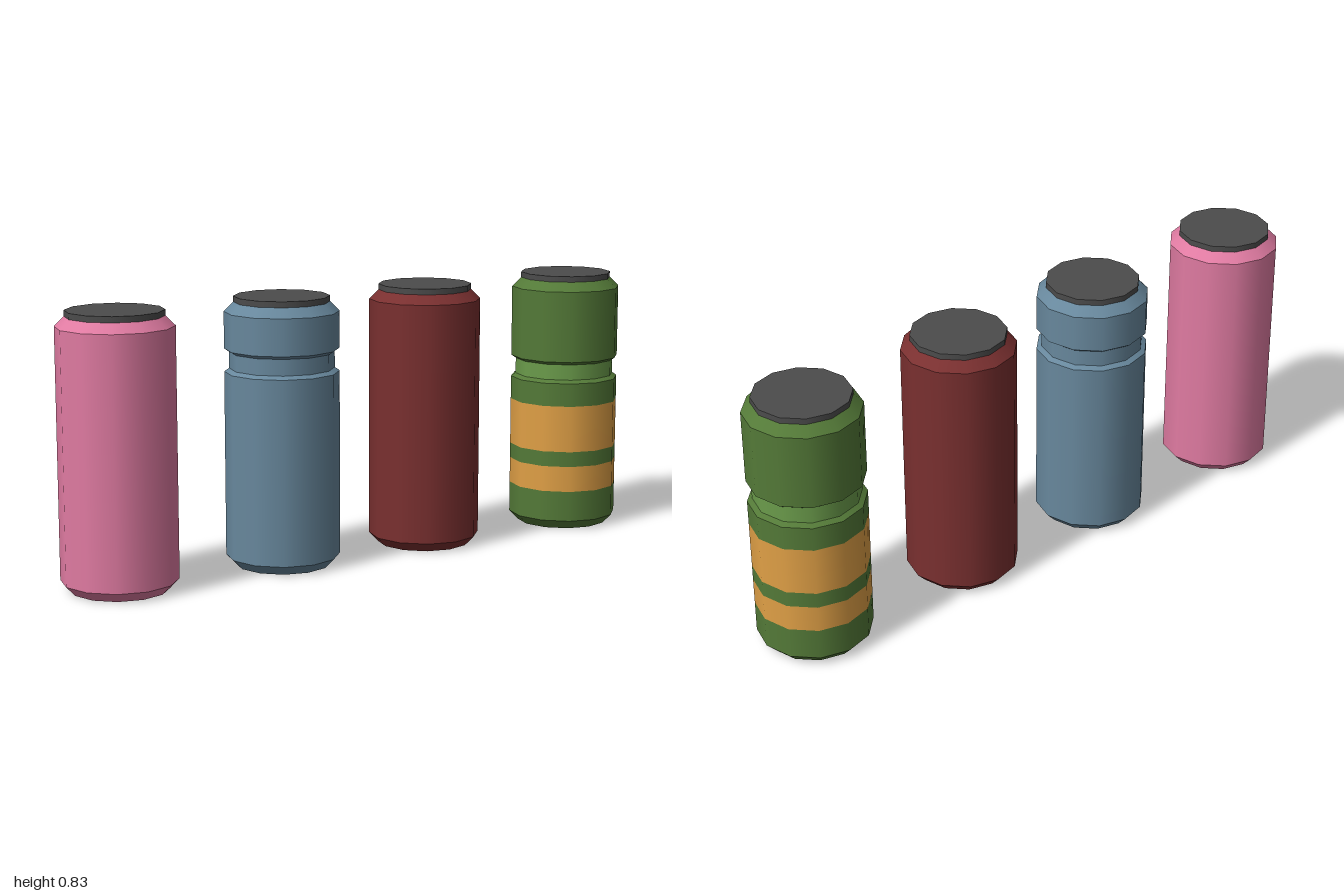
import * as THREE from 'three';
import { mergeGeometries } from 'three/addons/utils/BufferGeometryUtils.js';

const SIDES = 12;
const R = 0.175;      // can wall
const NECK = 0.146;   // lid and base
const GROOVE = 0.16;  // pressed-in ring

function makeMaterial(name, color) {
  const m = new THREE.MeshStandardMaterial({ color });
  m.name = name;
  return m;
}

// Open ring between two heights, smooth around and sharp at its rims
function ring(y0, y1, r0 = R, r1 = R) {
  return new THREE.CylinderGeometry(r1, r0, y1 - y0, SIDES, 1, true).translate(0, (y0 + y1) / 2, 0);
}

function disc(y, r, up) {
  const g = new THREE.CircleGeometry(r, SIDES);
  return g.rotateX(up ? -Math.PI / 2 : Math.PI / 2).translate(0, y, 0);
}

function part(name, geometries, material) {
  const mesh = new THREE.Mesh(mergeGeometries(geometries), material);
  mesh.name = name;
  return mesh;
}

// Can with an optional groove starting at a height, and optional painted bands
function makeCan({ name, x, body, lid, groove, grooveMaterial = body, bands = [], bandMaterial }) {
  const can = new THREE.Group();
  can.name = name;
  can.position.x = x;

  // Base and shoulder bevels
  const shell = [disc(0, NECK, false), ring(0, 0.03, NECK, R), ring(0.783, 0.812, R, NECK)];

  // Walls fill whatever the bands and groove leave free
  const gaps = bands.slice();
  if (groove !== undefined) gaps.push([groove, groove + 0.07]);
  let y = 0.03;
  for (const [from, to] of gaps) {
    shell.push(ring(y, from));
    y = to;
  }
  shell.push(ring(y, 0.783));

  // Pressed-in groove
  if (groove !== undefined) {
    shell.push(ring(groove, groove + 0.01, R, GROOVE), ring(groove + 0.06, groove + 0.07, GROOVE, R));
    can.add(part('groove', [ring(groove + 0.01, groove + 0.06, GROOVE, GROOVE)], grooveMaterial));
  }
  can.add(part('body', shell, body));
  if (bands.length) can.add(part('bands', bands.map(([a, b]) => ring(a, b)), bandMaterial));

  // Lid
  can.add(part('lid', [ring(0.812, 0.83, NECK, NECK), disc(0.83, NECK, true)], lid));
  return can;
}

export function createModel() {
  const model = new THREE.Group();
  model.name = 'cans';
  const lid = makeMaterial('dark grey', 0x4c4c4c);
  const pink = makeMaterial('pink', 0xe07ba2);
  const blue = makeMaterial('slate blue', 0x68889d);
  const red = makeMaterial('dark red', 0x7a3030);
  const green = makeMaterial('green', 0x547a38);
  const lightGreen = makeMaterial('light green', 0x6b9c4b);
  const orange = makeMaterial('orange', 0xe0a046);

  model.add(
    makeCan({ name: 'pinkCan', x: -0.825, body: pink, lid }),
    makeCan({ name: 'blueCan', x: -0.263, body: blue, lid, groove: 0.6 }),
    makeCan({ name: 'redCan', x: 0.263, body: red, lid }),
    makeCan({
      name: 'greenCan', x: 0.825, body: green, lid,
      groove: 0.485, grooveMaterial: lightGreen,
      bands: [[0.128, 0.211], [0.26, 0.41]], bandMaterial: orange,
    }),
  );
  return model;
}
